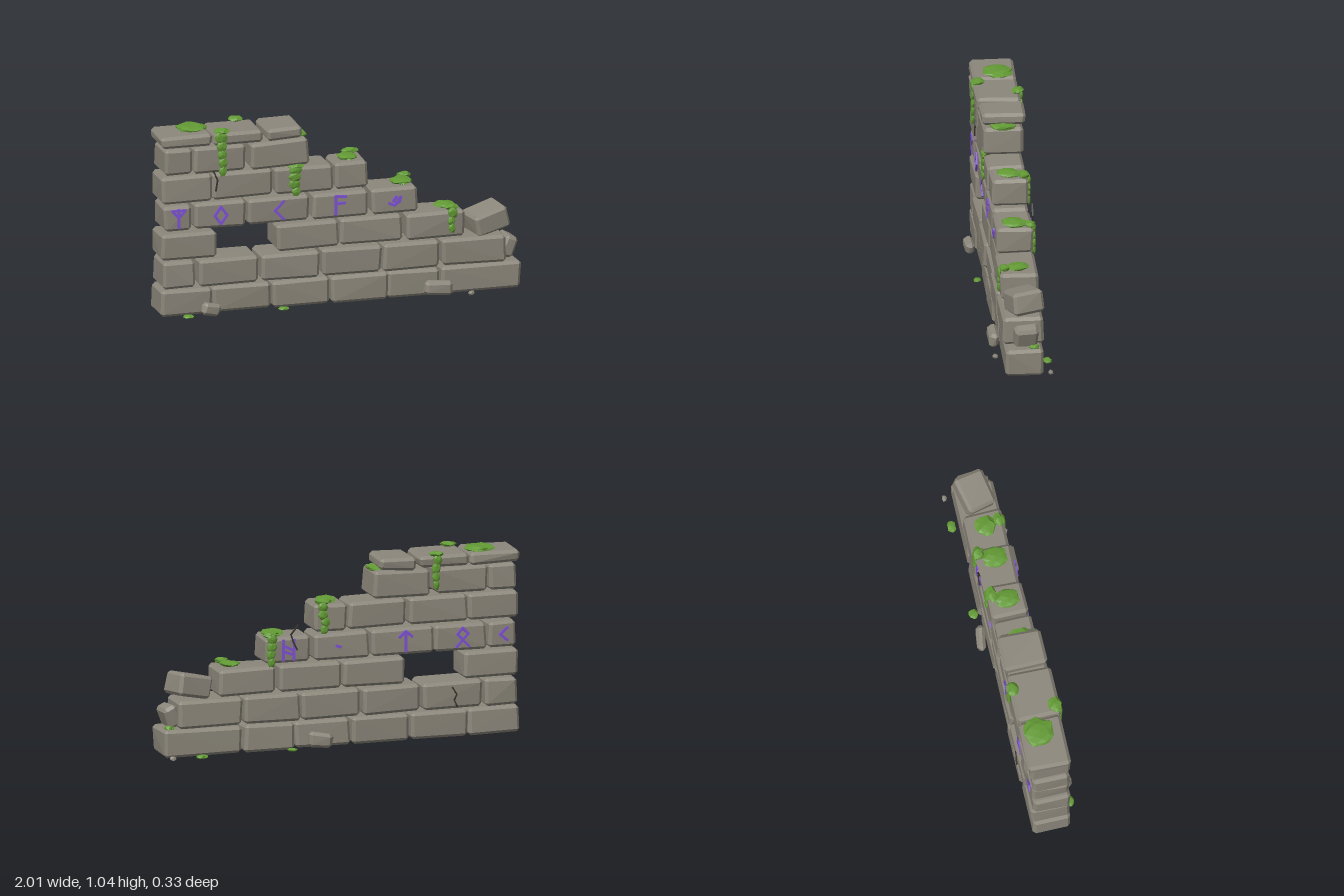
import * as THREE from 'three';
import { ConvexGeometry } from 'three/addons/geometries/ConvexGeometry.js';

const paint = (name, color) => {
  const m = new THREE.MeshStandardMaterial({ color });
  m.name = name;
  return m;
};

// repeatable pseudo-random number in -1..1
let seed = 7;
const rand = () => {
  seed = (seed * 16807) % 2147483647;
  return (seed / 2147483647) * 2 - 1;
};

// chamfered block with slightly shifted corners
function stoneGeometry(w, h, d, bevel = 0.016, wobble = 0.005) {
  const points = [];
  for (const sx of [-1, 1]) for (const sy of [-1, 1]) for (const sz of [-1, 1]) {
    const x = sx * w / 2 + rand() * wobble;
    const y = sy * h / 2 + rand() * wobble * 0.6;
    const z = sz * d / 2 + rand() * wobble;
    const bx = sx * bevel, by = sy * bevel, bz = sz * bevel;
    points.push(
      new THREE.Vector3(x, y - by, z - bz),
      new THREE.Vector3(x - bx, y, z - bz),
      new THREE.Vector3(x - bx, y - by, z)
    );
  }
  return new ConvexGeometry(points);
}

// faceted lump whose corners move in or out
function lumpGeometry(rx, ry, rz, rough = 0.2, detail = 1) {
  const g = new THREE.IcosahedronGeometry(1, detail);
  const p = g.attributes.position;
  const phase = rand() * 50;
  for (let i = 0; i < p.count; i++) {
    const x = p.getX(i), y = p.getY(i), z = p.getZ(i);
    const k = 1 + rough * Math.sin(x * 7.3 + y * 5.1 + z * 9.7 + phase);
    p.setXYZ(i, x * k * rx, y * k * ry, z * k * rz);
  }
  g.computeVertexNormals();
  return g;
}

export function createModel() {
  const model = new THREE.Group();
  model.name = 'ruinedWall';
  const stone = paint('stone', 0x8c877b);
  const moss = paint('moss', 0x639a35);
  const glow = paint('violet', 0x8052d8);
  const dark = paint('crack', 0x38342f);

  const add = (parent, name, geometry, material, pos, rot = [0, 0, 0]) => {
    const m = new THREE.Mesh(geometry, material);
    m.name = name;
    m.position.set(...pos);
    m.rotation.set(...rot);
    parent.add(m);
    return m;
  };

  // courses: bottom, top, depth, [left, right] of each block
  const courses = [
    [0.015, 0.162, 0.204, [[-1, -0.72], [-0.71, -0.39], [-0.38, -0.065], [-0.05, 0.26], [0.265, 0.545], [0.56, 1]]],
    [0.17, 0.318, 0.215, [[-0.99, -0.81], [-0.79, -0.46], [-0.445, -0.12], [-0.1, 0.225], [0.235, 0.545], [0.56, 0.915]]],
    [0.33, 0.475, 0.205, [[-1, -0.695], [-0.355, -0.01], [0, 0.345], [0.37, 0.69]]],
    [0.488, 0.63, 0.2, [[-0.985, -0.83], [-0.815, -0.53], [-0.52, -0.175], [-0.155, 0.15], [0.175, 0.43]]],
    [0.645, 0.792, 0.2, [[-0.995, -0.72], [-0.71, -0.38], [-0.365, -0.045], [-0.03, 0.15]]],
    [0.802, 0.948, 0.218, [[-0.98, -0.83], [-0.82, -0.535], [-0.5, -0.18]]],
    [0.953, 1.02, 0.235, [[-1, -0.72], [-0.715, -0.44], [-0.415, -0.215]]]
  ];
  courses.forEach(([bottom, top, depth, blocks], row) => {
    const course = new THREE.Group();
    course.name = row === 6 ? 'capCourse' : 'course' + (row + 1);
    model.add(course);
    blocks.forEach(([l, r], i) => {
      const tilt = row === 6 && i === 2 ? 0.05 : row === 5 && i === 2 ? 0.025 : 0;
      add(course, row === 6 ? 'capStone' : 'block', stoneGeometry(r - l, top - bottom, depth),
        stone, [(l + r) / 2, (top + bottom) / 2, row === 3 ? 0 : rand() * 0.005], [0, 0, tilt]);
    });
  });

  // displaced blocks at the broken end, and rubble on the ground
  add(model, 'tiltedBlock', stoneGeometry(0.2, 0.12, 0.165), stone, [0.835, 0.39, -0.005], [0.08, 0.25, 0.2]);
  add(model, 'slippedBlock', stoneGeometry(0.08, 0.12, 0.13), stone, [0.945, 0.232, -0.005], [0, 0.1, -0.4]);
  add(model, 'rubble', stoneGeometry(0.1, 0.065, 0.05), stone, [-0.735, 0.05, 0.135], [0, 0.1, -0.2]);
  add(model, 'rubble', stoneGeometry(0.155, 0.075, 0.05), stone, [0.535, 0.062, 0.13], [0, 0, -0.08]);
  add(model, 'rubble', stoneGeometry(0.13, 0.08, 0.05), stone, [0.13, 0.06, -0.13], [0, -0.1, 0.12]);
  add(model, 'pebble', lumpGeometry(0.02, 0.015, 0.018, 0.15, 0), stone, [0.715, 0.018, 0.135]);
  add(model, 'pebble', lumpGeometry(0.02, 0.015, 0.016, 0.15, 0), stone, [0.965, 0.02, -0.138]);

  // moss cushions: x, y, z, radius x, radius z
  const cushions = [
    [-0.8, 1.027, -0.02, 0.078, 0.085], [-0.53, 1.028, -0.105, 0.045, 0.03], [-0.665, 1.028, 0.095, 0.045, 0.036],
    [-0.225, 0.953, 0, 0.05, 0.075], [0.06, 0.8, 0, 0.05, 0.068], [0.1, 0.806, -0.08, 0.045, 0.03],
    [0.36, 0.64, 0, 0.056, 0.07], [0.4, 0.645, -0.08, 0.036, 0.03], [0.6, 0.486, 0, 0.06, 0.055],
    [0.62, 0.49, 0.075, 0.036, 0.028], [-0.25, 0.797, 0.085, 0.05, 0.03], [0.955, 0.17, -0.05, 0.025, 0.03],
    [-0.86, 0.02, 0.132, 0.034, 0.022], [-0.33, 0.02, 0.13, 0.033, 0.018],
    [0.29, 0.02, -0.134, 0.03, 0.024], [0.8, 0.02, -0.138, 0.032, 0.024]
  ];
  for (const [x, y, z, rx, rz] of cushions)
    add(model, y < 0.1 ? 'groundMoss' : 'mossCushion', lumpGeometry(rx, y < 0.1 ? 0.01 : 0.016, rz, 0.15), moss, [x, y, z]);

  // hanging moss: x, top, bottom, z, half width
  const trails = [
    [-0.67, 1.02, 0.79, 0.122, 0.034], [-0.255, 0.8, 0.64, 0.106, 0.038], [0.62, 0.485, 0.36, 0.104, 0.026],
    [-0.525, 1.02, 0.84, -0.124, 0.026], [0.1, 0.8, 0.64, -0.104, 0.03], [0.4, 0.645, 0.48, -0.104, 0.03]
  ];
  for (const [x, top, bottom, z, w] of trails) {
    const trail = new THREE.Group();
    trail.name = 'hangingMoss';
    model.add(trail);
    const n = Math.round((top - bottom) / 0.042), step = (top - bottom) / n;
    for (let i = 0; i < n; i++)
      add(trail, 'mossClump', lumpGeometry(w * (1 - 0.4 * i / n), step * 0.68, 0.011, 0.12), moss,
        [x + rand() * 0.008, top - (i + 0.5) * step, z]);
  }

  // thin strokes joining successive points on a wall face
  const strokes = (parent, name, path, width, material, z) => {
    for (let i = 1; i < path.length; i++) {
      const [ax, ay] = path[i - 1], [bx, by] = path[i];
      add(parent, name, new THREE.BoxGeometry(Math.hypot(bx - ax, by - ay) + width * 0.6, width, 0.009),
        material, [(ax + bx) / 2, (ay + by) / 2, z], [0, 0, Math.atan2(by - ay, bx - ax)]);
    }
  };

  // carved marks: centre x followed by stroke paths, seen from their own side
  const frontMarks = [
    [-0.905, [[0, -0.05], [0, 0.05]], [[-0.037, 0.045], [0, 0.005], [0.037, 0.045]], [[-0.037, 0.045], [0.037, 0.045]]],
    [-0.67, [[0, 0.047], [0.034, 0], [0, -0.047], [-0.034, 0], [0, 0.047]]],
    [-0.345, [[0.025, 0.05], [-0.025, 0], [0.025, -0.05]]],
    [-0.01, [[-0.02, -0.05], [-0.02, 0.05], [0.035, 0.045]], [[-0.02, 0.01], [0.03, 0.012]]],
    [0.3, [[-0.035, -0.012], [-0.005, -0.025], [0.025, -0.005], [0.005, 0.02], [-0.01, 0], [0.01, -0.012]], [[0.025, -0.005], [0.03, 0.02]]]
  ];
  const backMarks = [
    [-0.3, [[-0.03, -0.055], [-0.03, 0.055]], [[0.03, -0.055], [0.03, 0.055]], [[-0.03, 0.025], [0.03, -0.005]], [[-0.03, -0.005], [0.03, -0.03]]],
    [-0.02, [[-0.012, 0.004], [0.012, -0.004]]],
    [0.36, [[0, -0.055], [0, 0.055]], [[-0.035, 0.025], [0, 0.055], [0.035, 0.025]]],
    [0.68, [[-0.035, -0.052], [0.03, 0.018], [0, 0.05], [-0.03, 0.018], [0.035, -0.052]]],
    [0.91, [[0.022, 0.035], [-0.02, 0], [0.022, -0.035]]]
  ];
  const cracks = [
    [1, [[-0.72, 0.89], [-0.7, 0.85], [-0.715, 0.815], [-0.69, 0.76], [-0.7, 0.7]]],
    [-1, [[-0.25, 0.695], [-0.29, 0.645], [-0.275, 0.6], [-0.255, 0.56]]],
    [-1, [[0.62, 0.29], [0.645, 0.25], [0.63, 0.22], [0.65, 0.18]]]
  ];
  for (const [side, marks] of [[1, frontMarks], [-1, backMarks]]) {
    const face = new THREE.Group();
    face.name = side > 0 ? 'frontCarvings' : 'backCarvings';
    face.rotation.y = side > 0 ? 0 : Math.PI;
    model.add(face);
    for (const [cx, ...paths] of marks)
      for (const path of paths)
        strokes(face, 'carvedMark', path.map(([x, y]) => [cx + x, 0.56 + y]), 0.014, glow, 0.103);
    for (const [s, path] of cracks)
      if (s === side) strokes(face, 'crack', path, 0.007, dark, 0.108);
  }
  return model;
}
